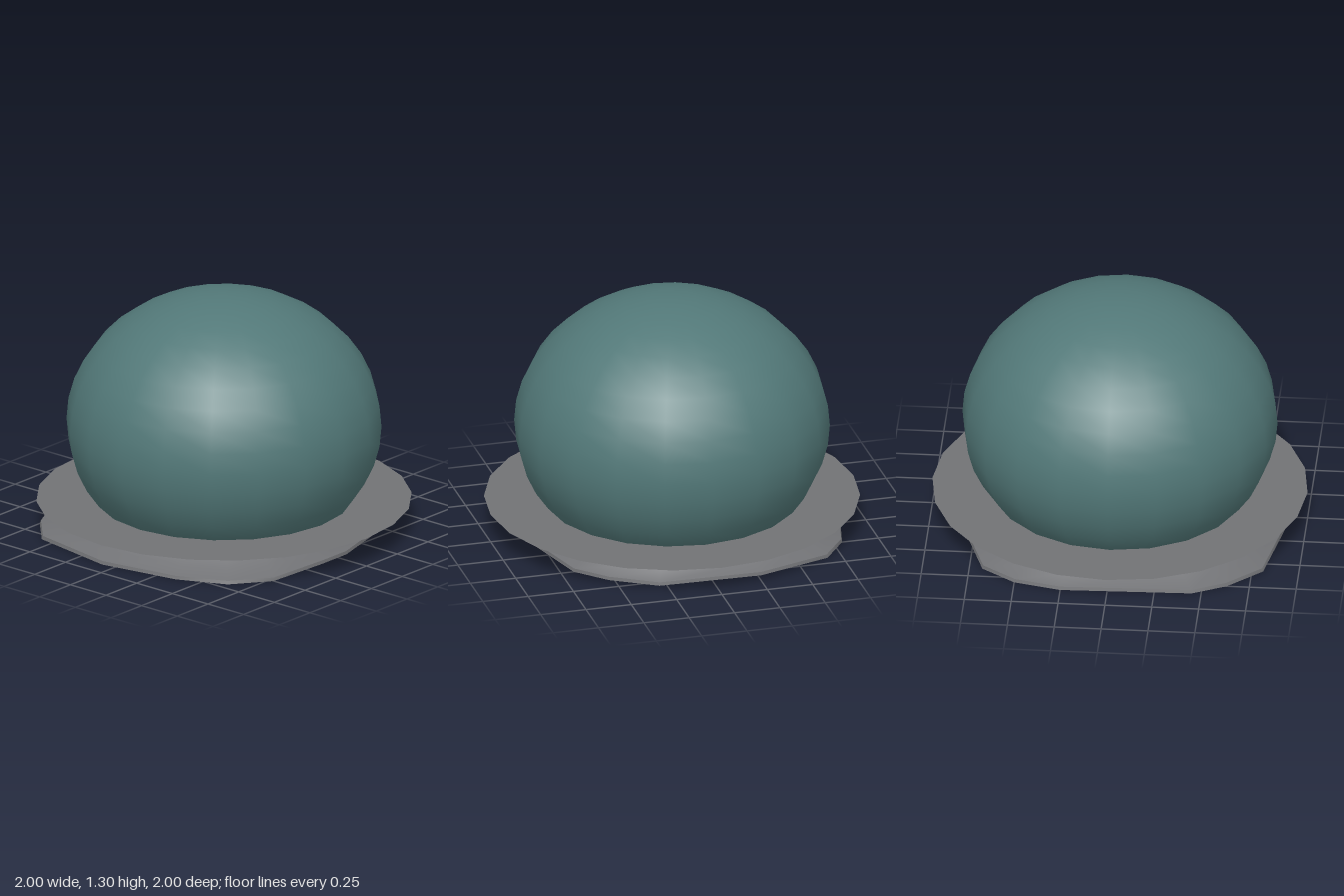
import * as THREE from 'three';
import { toCreasedNormals } from 'three/addons/utils/BufferGeometryUtils.js';

// Irregular footprint of the stone base, as [x, z] corners
const FOOTPRINT = [
  [0.8, 0.29], [0.655, 0.53], [0.5, 0.68], [0.07, 0.8], [-0.13, 0.8], [-0.5, 0.78],
  [-0.7, 0.63], [-0.82, 0.37], [-0.9, -0.08], [-0.81, -0.58], [-0.63, -0.75], [-0.45, -0.84],
  [0.25, -0.86], [0.5, -0.8], [0.68, -0.67], [0.81, -0.27],
];

// Cross-sections stacked upwards and closed with a fan at each end
function stackedBase() {
  const n = FOOTPRINT.length;
  // Height and blend towards the inner rim for each ring
  const rings = [[0, 0], [0.018, 0.02], [0.05, 0.4], [0.1, 0.68], [0.15, 1]];
  const positions = [];
  const index = [];
  for (const [y, blend] of rings) {
    for (const [x, z] of FOOTPRINT) {
      const r = Math.hypot(x, z);
      const s = THREE.MathUtils.lerp(1, 0.67 / r, blend);
      positions.push(x * s, y, z * s);
    }
  }
  const bottom = positions.length / 3;
  positions.push(0, 0, 0, 0, 0.15, 0);
  const last = (rings.length - 1) * n;
  for (let i = 0; i < n; i++) {
    const j = (i + 1) % n;
    for (let k = 0; k < rings.length - 1; k++) {
      const a = k * n + i, b = k * n + j;
      index.push(a, a + n, b, b, a + n, b + n);
    }
    index.push(bottom, i, j, bottom + 1, last + j, last + i);
  }
  const g = new THREE.BufferGeometry();
  g.setAttribute('position', new THREE.Float32BufferAttribute(positions, 3));
  g.setIndex(index);
  return toCreasedNormals(g, 0.7);
}

export function createModel() {
  const model = new THREE.Group();
  const teal = new THREE.MeshStandardMaterial({ color: 0x527878, side: THREE.DoubleSide });
  teal.name = 'teal';
  const grey = new THREE.MeshStandardMaterial({ color: 0x717275, side: THREE.DoubleSide });
  grey.name = 'stone grey';

  const add = (name, geometry, material) => {
    const mesh = new THREE.Mesh(geometry, material);
    mesh.name = name;
    model.add(mesh);
    return mesh;
  };

  // Squashed dome, cut off where it meets the plate
  const dome = add('dome', new THREE.SphereGeometry(1, 20, 14, 0, Math.PI * 2, 0, Math.PI * 0.7), teal);
  dome.scale.set(0.84, 0.725, 0.84);
  dome.position.y = 0.577;

  // Thin round plate under the dome
  const plate = add('plate', new THREE.CircleGeometry(1, 24).rotateX(-Math.PI / 2), grey);
  plate.position.y = 0.155;

  // Rough stone base
  add('base', stackedBase(), grey);

  return model;
}
